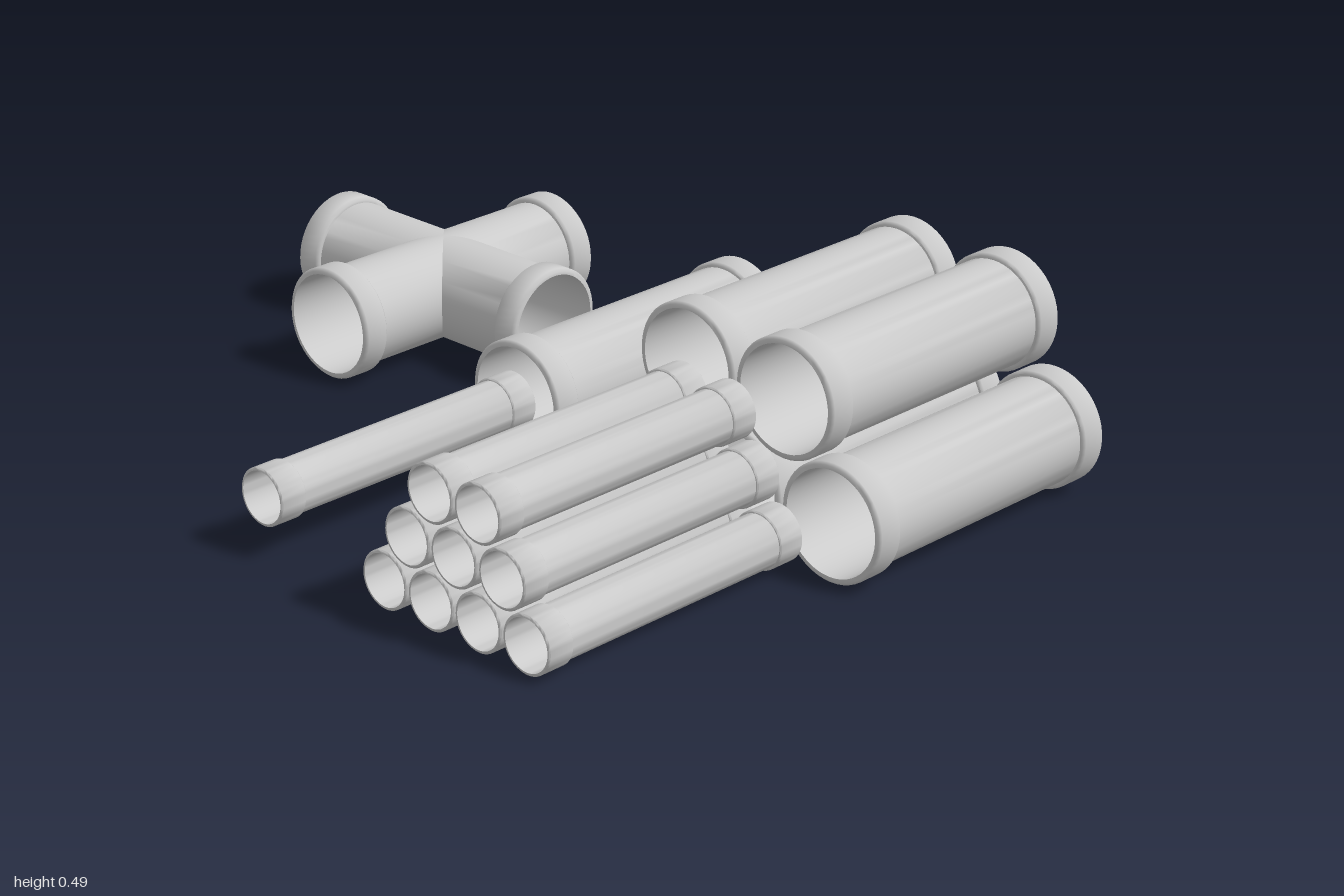
import * as THREE from 'three';
import { toCreasedNormals } from 'three/addons/utils/BufferGeometryUtils.js';

const LENGTH = 0.725, COLLAR = 0.066;
const material = new THREE.MeshStandardMaterial({ color: 0xcccccc, side: THREE.DoubleSide });

// Outer wall from the collar's foot to the lip, for one end pointing up
function endProfile(body, collar, inner, end) {
  const b = (collar - body) * 0.5;
  return [
    [body, end - COLLAR], [collar - b, end - COLLAR], [collar, end - COLLAR + b],
    [collar, end - b], [collar - b, end], [inner, end],
  ];
}

function lathe(points, segments) {
  return new THREE.LatheGeometry(points.map(([r, y]) => new THREE.Vector2(r, y)), segments);
}

// Straight hollow pipe with a collar at each end, lying along z
function pipeGeometry(body, collar, inner) {
  const top = endProfile(body, collar, inner, LENGTH / 2);
  const bottom = top.map(([r, y]) => [r, -y]).reverse();
  const geo = lathe([...bottom, ...top, bottom[0]], 48);
  geo.rotateX(Math.PI / 2);
  return toCreasedNormals(geo, 0.9);
}

// One arm of the cross, mitred at 45 degrees where it meets its neighbours
function armGeometry(body, collar, inner) {
  const geo = lathe([[body, 0], ...endProfile(body, collar, inner, LENGTH / 2), [inner, 0]], 48);
  const p = geo.attributes.position;
  for (let i = 0; i < p.count; i++) {
    if (Math.abs(p.getY(i)) < 1e-6) p.setY(i, Math.abs(p.getX(i)));
  }
  geo.rotateX(Math.PI / 2);
  return toCreasedNormals(geo, 0.9);
}

function addPipe(parent, name, geometry, x, y, z) {
  const mesh = new THREE.Mesh(geometry, material);
  mesh.name = name;
  mesh.position.set(x, y, z);
  parent.add(mesh);
}

// Rows of pipes nested in the gaps of the row below
function addStack(parent, name, geometry, rows, x0, y0, pitch, rise, z) {
  const stack = new THREE.Group();
  stack.name = name + 'Stack';
  rows.forEach((count, row) => {
    for (let i = 0; i < count; i++) {
      addPipe(stack, name, geometry, x0 + (i + row / 2) * pitch, y0 + row * rise, z);
    }
  });
  parent.add(stack);
}

export function createModel() {
  const model = new THREE.Group();
  model.name = 'pipeSet';
  const large = pipeGeometry(0.12, 0.131, 0.117);
  const small = pipeGeometry(0.059, 0.064, 0.0575);
  const half = LENGTH / 2;

  // Single pipes
  addPipe(model, 'largePipe', large, -0.033, 0.134, -half);
  addPipe(model, 'smallPipe', small, -0.033, 0.134, half);

  // Stacked pipes
  addStack(model, 'largePipe', large, [3, 2], 0.333, 0.134, 0.266, 0.231, -half);
  addStack(model, 'smallPipe', small, [4, 3, 2], 0.333, 0.073, 0.1325, 0.116, half);

  // Four-way junction
  const cross = new THREE.Group();
  cross.name = 'crossJunction';
  const arm = armGeometry(0.118, 0.131, 0.117);
  for (let i = 0; i < 4; i++) {
    const mesh = new THREE.Mesh(arm, material);
    mesh.name = 'crossArm';
    mesh.rotation.y = i * Math.PI / 2;
    cross.add(mesh);
  }
  cross.position.set(-0.637, 0.134, -half);
  model.add(cross);
  return model;
}
